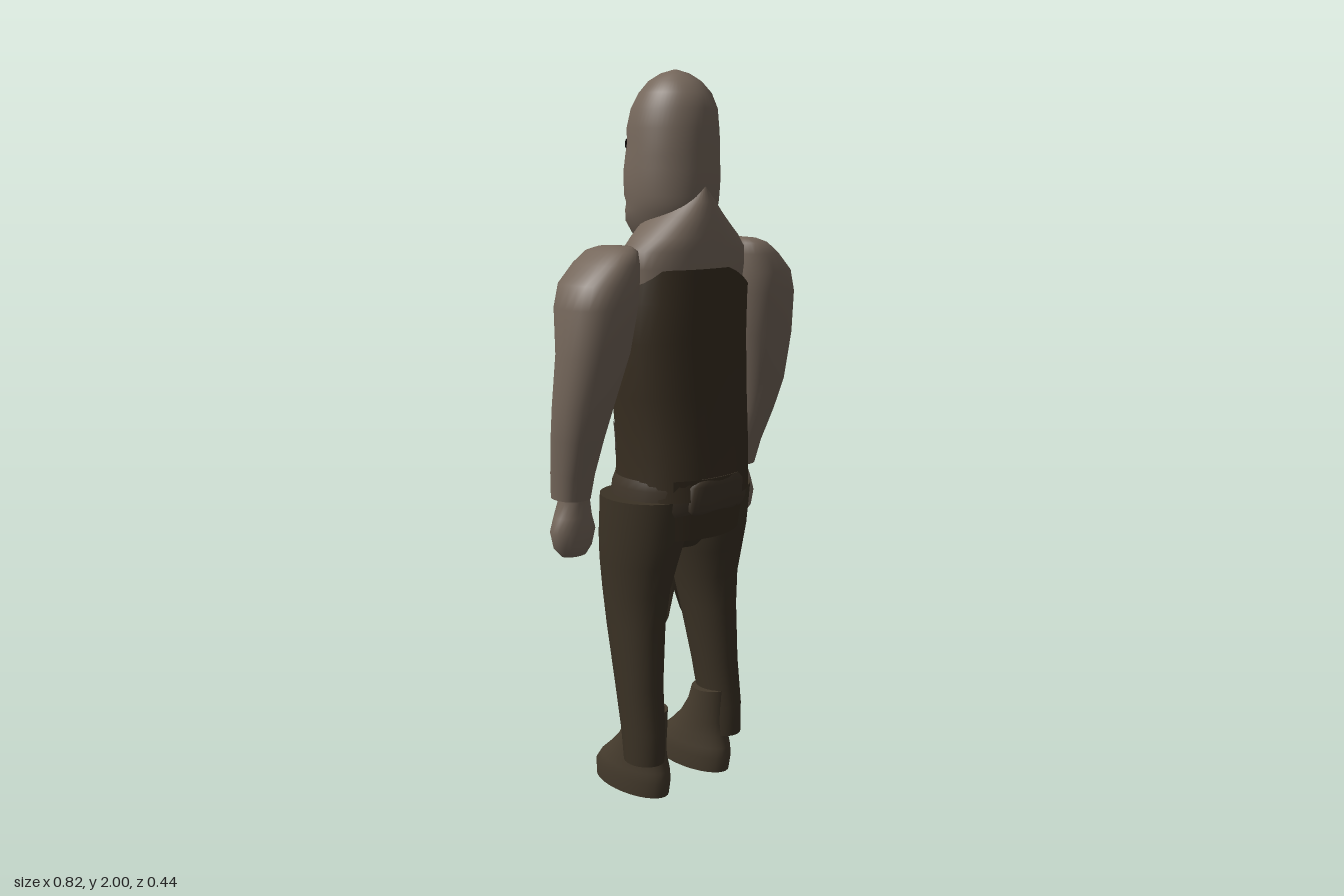
import * as THREE from 'three';

const mat = (name, color, side = THREE.FrontSide) => {
  const m = new THREE.MeshStandardMaterial({ color, side });
  m.name = name;
  return m;
};

// Closed body through horizontal rings, each [y, x0, x1, z0, z1], listed bottom to top
function loft(rings, { n = 28, power = 2, caps = true } = {}) {
  const pos = [], idx = [];
  const ring = ([y, x0, x1, z0, z1]) => {
    for (let j = 0; j < n; j++) {
      const a = (j / n) * Math.PI * 2, s = Math.sin(a), c = Math.cos(a), e = 2 / power;
      pos.push((x0 + x1) / 2 + ((x1 - x0) / 2) * Math.sign(s) * Math.abs(s) ** e, y,
        (z0 + z1) / 2 + ((z1 - z0) / 2) * Math.sign(c) * Math.abs(c) ** e);
    }
  };
  rings.forEach(ring);
  for (let i = 0; i < rings.length - 1; i++) {
    for (let j = 0; j < n; j++) {
      const k = (j + 1) % n, a = i * n + j, b = i * n + k;
      idx.push(a, b, b + n, a, b + n, a + n);
    }
  }
  if (caps) {
    [rings[0], rings[rings.length - 1]].forEach((r, top) => {
      const start = pos.length / 3;
      ring(r);
      pos.push((r[1] + r[2]) / 2, r[0], (r[3] + r[4]) / 2);
      for (let j = 0; j < n; j++) {
        const a = start + j, b = start + ((j + 1) % n);
        if (top) idx.push(start + n, a, b); else idx.push(start + n, b, a);
      }
    });
  }
  return finish(pos, idx);
}

function finish(pos, idx) {
  const g = new THREE.BufferGeometry();
  g.setAttribute('position', new THREE.Float32BufferAttribute(pos, 3));
  g.setIndex(idx);
  g.computeVertexNormals();
  return g;
}

// Move every vertex by a rule that edits a Vector3
function reshape(geo, rule) {
  const p = geo.attributes.position, v = new THREE.Vector3();
  for (let i = 0; i < p.count; i++) {
    rule(v.fromBufferAttribute(p, i));
    p.setXYZ(i, v.x, v.y, v.z);
  }
  geo.computeVertexNormals();
  return geo;
}

// Open sheet from a function of u and v
function sheet(nu, nv, f) {
  const pos = [], idx = [];
  for (let i = 0; i <= nv; i++) for (let j = 0; j <= nu; j++) pos.push(...f(j / nu, i / nv));
  for (let i = 0; i < nv; i++) {
    for (let j = 0; j < nu; j++) {
      const a = i * (nu + 1) + j, b = a + nu + 1;
      idx.push(a, b, a + 1, a + 1, b, b + 1);
    }
  }
  return finish(pos, idx);
}

const curve = (pts) => new THREE.CatmullRomCurve3(pts.map((p) => new THREE.Vector3(...p)));
const mirrored = (rings, s) => rings.map(([y, a, b, c, d]) => (s > 0 ? [y, a, b, c, d] : [y, -b, -a, c, d]));

export function createModel() {
  const model = new THREE.Group();
  const skin = mat('skin', 0x75675b);
  const patchSkin = mat('bare patch', 0x6f6357, THREE.DoubleSide);
  const tunicCloth = mat('tunic cloth', 0x382e21, THREE.DoubleSide);
  const trouserCloth = mat('trouser cloth', 0x3b3225, THREE.DoubleSide);
  const leather = mat('leather', 0x40362a);
  const bootLeather = mat('boot leather', 0x443a2c);
  const steel = mat('dark steel', 0x30281f);
  const dark = mat('eye hole', 0x1c1612, THREE.DoubleSide);
  const add = (name, geo, material, parent = model) => {
    const m = new THREE.Mesh(geo, material);
    m.name = name;
    parent.add(m);
    return m;
  };

  // Hooded head, with the nose drawn out of the face
  const head = loft([
    [1.525, -0.05, 0.05, -0.05, 0.06], [1.55, -0.085, 0.085, -0.085, 0.1], [1.605, -0.112, 0.112, -0.118, 0.13],
    [1.635, -0.121, 0.121, -0.113, 0.14], [1.655, -0.125, 0.125, -0.104, 0.143], [1.675, -0.128, 0.128, -0.112, 0.145],
    [1.71, -0.13, 0.13, -0.112, 0.147], [1.745, -0.129, 0.129, -0.112, 0.147], [1.78, -0.127, 0.127, -0.106, 0.147],
    [1.81, -0.125, 0.125, -0.1, 0.147], [1.85, -0.122, 0.122, -0.104, 0.146], [1.9, -0.115, 0.115, -0.09, 0.142],
    [1.94, -0.096, 0.096, -0.068, 0.127], [1.97, -0.07, 0.07, -0.043, 0.1], [1.99, -0.038, 0.038, -0.01, 0.068],
    [2, -0.004, 0.004, 0.026, 0.034]], { n: 56 });
  add('head', reshape(head, (v) => {
    if (v.z > 0) return;
    const t = v.y < 1.745 ? (v.y - 1.67) / 0.075 : (1.87 - v.y) / 0.125;
    v.z -= 0.05 * Math.max(0, t) * Math.exp(-((v.x / 0.034) ** 2));
  }), skin);
  for (const s of [-1, 1]) {
    const eye = add('eyeHole', new THREE.CircleGeometry(0.027, 16), dark);
    eye.scale.set(1, 0.55, 1);
    eye.position.set(s * 0.067, 1.808, -0.086);
    eye.rotation.y = Math.PI - s * 0.58;
  }

  // Bare shoulders and neck
  add('upperBody', loft([
    [1.2, -0.18, 0.17, -0.07, 0.17], [1.4, -0.19, 0.18, -0.066, 0.176], [1.49, -0.198, 0.193, -0.05, 0.177],
    [1.535, -0.194, 0.192, -0.042, 0.175], [1.57, -0.162, 0.162, -0.037, 0.174], [1.62, -0.104, 0.104, -0.03, 0.168],
    [1.66, -0.06, 0.06, 0, 0.16], [1.7, -0.012, 0.012, 0.06, 0.146]], { n: 36, power: 2.3 }), skin);

  // Tunic with a sagging, uneven neckline
  const tunicRings = [
    [0.87, -0.188, 0.197, -0.105, 0.213], [1, -0.185, 0.2, -0.1, 0.207], [1.15, -0.202, 0.197, -0.097, 0.202],
    [1.3, -0.218, 0.196, -0.092, 0.199], [1.4, -0.21, 0.197, -0.084, 0.198], [1.49, -0.203, 0.198, -0.068, 0.196]];
  add('tunic', reshape(loft(tunicRings, { n: 36, power: 2.3, caps: false }), (v) => {
    if (v.y < 1.48) return;
    const drop = Math.max(0, v.x - 0.05) * 0.5 + Math.max(0, -v.x - 0.16);
    const sag = v.z < 0 ? 0.05 - 0.3 * Math.abs(v.x + 0.05) : 0;
    v.y -= Math.min(0.08, drop) + Math.max(0, sag);
  }), tunicCloth);

  // Front surface of the tunic, used to lay torn patches on it
  const frontZ = (x, y) => {
    const i = tunicRings.findIndex((r) => r[0] > y) - 1;
    const a = tunicRings[i], b = tunicRings[i + 1], t = (y - a[0]) / (b[0] - a[0]);
    const [, x0, x1, z0, z1] = a.map((v, k) => v + (b[k] - v) * t);
    const u = Math.min(1, Math.abs((x - (x0 + x1) / 2) / ((x1 - x0) / 2)));
    return (z0 + z1) / 2 - ((z1 - z0) / 2) * (1 - u ** 2.3) ** (1 / 2.3);
  };
  const patch = (cx, cy, w, h, radii) => {
    const pos = [cx, cy, frontZ(cx, cy) - 0.005], idx = [], n = radii.length;
    radii.forEach((r, j) => {
      const a = (j / n) * Math.PI * 2, x = cx + Math.cos(a) * r * w, y = cy + Math.sin(a) * r * h;
      pos.push(x, y, frontZ(x, y) - 0.004);
      idx.push(0, 1 + ((j + 1) % n), 1 + j);
    });
    add('tornPatch', finish(pos, idx), patchSkin);
  };
  patch(0.055, 1.16, 0.065, 0.11, [0.8, 1, 0.9, 1, 0.95, 1, 0.8, 0.9, 0.7, 0.9, 0.6, 0.8]);
  patch(0.05, 1.02, 0.04, 0.055, [1, 0.7, 1, 0.8, 0.9, 1, 0.6, 1]);
  patch(-0.145, 1.02, 0.03, 0.06, [0.8, 1, 0.6, 1, 0.9, 0.6, 1, 0.7, 1]);

  // Diagonal chest strap
  const strapPath = curve([
    [-0.17, 1.49, -0.05], [-0.11, 1.4, -0.1], [0, 1.22, -0.12], [0.09, 1.06, -0.11], [0.16, 0.93, -0.075]]);
  add('chestStrap', new THREE.TubeGeometry(strapPath, 24, 0.018, 8), leather);

  // Belt, ring buckle, rear pouch and tunic tail
  add('belt', loft([
    [0.825, -0.195, 0.2, -0.112, 0.195], [0.845, -0.198, 0.204, -0.118, 0.205],
    [0.9, -0.196, 0.203, -0.116, 0.21], [0.925, -0.188, 0.2, -0.107, 0.206]], { n: 36, power: 2.2 }), leather);
  const ring = add('beltRing', new THREE.TorusGeometry(0.034, 0.008, 8, 20), leather);
  ring.position.set(0.03, 0.875, -0.132);
  ring.rotation.x = 0.3;
  add('beltPouch', loft([
    [0.83, -0.085, 0.085, 0.15, 0.2], [0.845, -0.1, 0.1, 0.15, 0.212],
    [0.91, -0.1, 0.1, 0.15, 0.218], [0.93, -0.075, 0.085, 0.15, 0.212]], { n: 24, power: 3 }), leather);
  add('tunicTail', sheet(10, 3, (u, v) => {
    const x = -0.14 + 0.28 * u;
    return [x * (1 - 0.1 * v), 0.93 - 0.17 * v, 0.216 - 2.2 * x * x - 0.018 * v];
  }), tunicCloth);

  // Trousers
  add('trouserSeat', loft([
    [0.71, -0.06, 0.06, -0.05, 0.1], [0.77, -0.15, 0.15, -0.09, 0.15], [0.82, -0.19, 0.19, -0.1, 0.165],
    [0.88, -0.195, 0.195, -0.105, 0.175]]), trouserCloth);
  const legRings = [
    [0.11, 0.1, 0.207, 0.005, 0.13], [0.2, 0.095, 0.21, -0.005, 0.13], [0.33, 0.085, 0.213, -0.03, 0.115],
    [0.5, 0.067, 0.215, -0.072, 0.113], [0.6, 0.048, 0.219, -0.092, 0.12], [0.68, 0.03, 0.225, -0.104, 0.14],
    [0.75, 0.012, 0.23, -0.108, 0.157], [0.87, 0.005, 0.233, -0.1, 0.17]];
  const bootRings = [
    [0, 0.055, 0.188, -0.157, 0.118], [0.045, 0.052, 0.192, -0.157, 0.125], [0.075, 0.056, 0.188, -0.135, 0.122],
    [0.11, 0.062, 0.184, -0.095, 0.11], [0.15, 0.067, 0.18, -0.055, 0.108], [0.2, 0.07, 0.178, -0.022, 0.11],
    [0.25, 0.07, 0.178, -0.003, 0.11]];

  // Arms with rounded shoulders and stepped wrists, and fists
  const armRings = [
    [0.88, 0.27, 0.367, -0.095, 0.015], [0.95, 0.268, 0.376, -0.088, 0.035], [1.05, 0.264, 0.392, -0.07, 0.075],
    [1.14, 0.25, 0.406, -0.05, 0.105], [1.28, 0.215, 0.407, -0.038, 0.138], [1.4, 0.195, 0.402, -0.056, 0.155],
    [1.46, 0.191, 0.384, -0.058, 0.155], [1.51, 0.19, 0.333, -0.047, 0.143], [1.54, 0.192, 0.293, -0.032, 0.128],
    [1.551, 0.198, 0.268, 0, 0.1], [1.554, 0.228, 0.24, 0.045, 0.055]];
  const handRings = [
    [0.72, 0.272, 0.35, -0.065, -0.015], [0.745, 0.255, 0.372, -0.082, 0], [0.79, 0.242, 0.382, -0.088, 0.005],
    [0.83, 0.255, 0.368, -0.085, 0.002], [0.87, 0.262, 0.35, -0.085, 0], [0.92, 0.275, 0.355, -0.08, 0.005]];
  for (const s of [1, -1]) {
    const side = s > 0 ? 'left' : 'right';
    add(side + 'TrouserLeg', loft(mirrored(legRings, s)), trouserCloth);
    add(side + 'Boot', loft(mirrored(bootRings, s)), bootLeather);
    add(side + 'Arm', loft(mirrored(armRings, s), { power: 2.3 }), skin);
    add(side + 'Hand', loft(mirrored(handRings, s), { n: 20 }), skin);
  }

  // Ragged cloth wrapped around the front and outside of the thigh
  const hem = [0.68, 0.58, 0.48, 0.4, 0.45, 0.48, 0.39, 0.42, 0.5, 0.44, 0.4, 0.45, 0.52, 0.5, 0.54];
  const wrap = curve([[-0.04, 0, -0.1], [0.03, 0, -0.128], [0.11, 0, -0.136], [0.185, 0, -0.122], [0.22, 0, -0.02]]);
  add('raggedFlap', sheet(14, 8, (u, v) => {
    const p = wrap.getPoint(u), end = hem[Math.round(u * 14)];
    return [p.x, 0.88 + (end - 0.88) * v, p.z * (0.83 + 0.17 * Math.sin(Math.PI * v))];
  }), trouserCloth);

  // Dagger held upright, leaning forward
  const dagger = new THREE.Group();
  dagger.name = 'dagger';
  dagger.position.set(0.322, 0.91, -0.108);
  dagger.rotation.x = -0.3;
  model.add(dagger);
  const outline = new THREE.Shape([[-0.035, 0], [0.035, 0], [0.062, 0.19], [0, 0.355], [-0.062, 0.19]]
    .map((p) => new THREE.Vector2(...p)));
  const blade = new THREE.ExtrudeGeometry(outline, { depth: 0.018, bevelEnabled: false });
  add('blade', blade.translate(0, 0, -0.009), steel, dagger);
  const guardPath = curve([[-0.083, 0.004, 0.012], [-0.03, -0.01, 0.004], [0.03, -0.01, -0.004], [0.083, 0.012, -0.012]]);
  add('guard', new THREE.TubeGeometry(guardPath, 12, 0.013, 8), leather, dagger);
  add('grip', new THREE.CylinderGeometry(0.016, 0.016, 0.21, 10).translate(0, -0.1, 0), leather, dagger);
  add('pommel', new THREE.CylinderGeometry(0.022, 0.018, 0.025, 10).translate(0, -0.2, 0), leather, dagger);

  return model;
}
